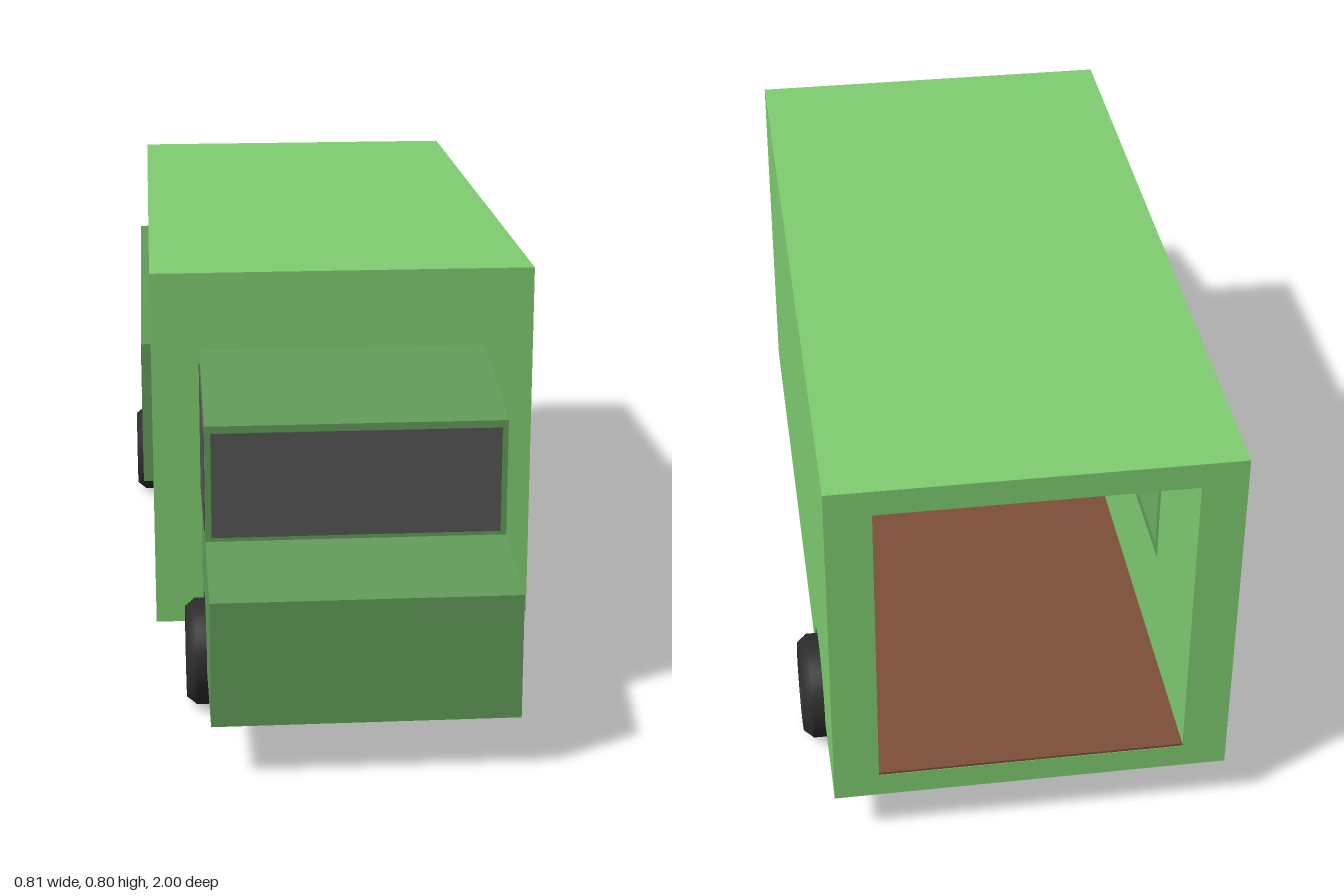
import * as THREE from 'three';

const mat = (name, color) => {
  const m = new THREE.MeshStandardMaterial({ color });
  m.name = name;
  return m;
};

export function createModel() {
  const bodyGreen = mat('bodyGreen', 0x7fcd70);
  const cabGreen = mat('cabGreen', 0x629c5a);
  const glass = mat('darkGlass', 0x555555);
  const rubber = mat('rubber', 0x2c2c2c);
  const metal = mat('hubGrey', 0xa8a8a8);
  const wood = mat('floorBrown', 0x7d503b);

  const truck = new THREE.Group();
  truck.name = 'foodTruck';

  const add = (name, geometry, material, parent = truck) => {
    const mesh = new THREE.Mesh(geometry, material);
    mesh.name = name;
    parent.add(mesh);
    return mesh;
  };

  // Box given by its limits on each axis
  const block = (name, material, [x0, x1], [y0, y1], [z0, z1]) => {
    const mesh = add(name, new THREE.BoxGeometry(x1 - x0, y1 - y0, z1 - z0), material);
    mesh.position.set((x0 + x1) / 2, (y0 + y1) / 2, (z0 + z1) / 2);
    return mesh;
  };

  // Side outline in (z, y) extruded across x
  const slab = (name, material, shape, x0, x1) => {
    const g = new THREE.ExtrudeGeometry(shape, { depth: x1 - x0, bevelEnabled: false, curveSegments: 20 });
    g.rotateY(-Math.PI / 2);
    g.translate(x1, 0, 0);
    return add(name, g, material);
  };

  const outline = (pts) => new THREE.Shape(pts.map(([z, y]) => new THREE.Vector2(z, y)));
  const rect = (z0, z1, y0, y1) => outline([[z0, y0], [z1, y0], [z1, y1], [z0, y1]]);

  // Outline whose bottom edge has a round wheel arch; the points run from bottom front to bottom back
  const archR = 0.112;
  const archOutline = (pts, wheelZ) => {
    const s = new THREE.Shape();
    s.moveTo(...pts[0]);
    pts.slice(1).forEach((p) => s.lineTo(...p));
    s.lineTo(wheelZ - archR, pts[0][1]);
    s.absarc(wheelZ, 0.1, archR, Math.PI, 0, true);
    s.closePath();
    return s;
  };

  // Main dimensions
  const W = 0.367, IN = 0.284, WELL = 0.297;
  const Y0 = 0.102, Y1 = 0.803, Z0 = -1, Z1 = 0.49;
  const frontWheelZ = 0.643, backWheelZ = -0.687;

  // Cargo body: side walls with wheel arches, serving hatch in the right one
  for (const side of [1, -1]) {
    const label = side > 0 ? 'left' : 'right';
    const outer = archOutline([[Z1, Y0], [Z1, Y1], [Z0, Y1], [Z0, Y0]], backWheelZ);
    const inner = rect(Z0, Z1, Y0, Y1);
    if (side < 0) {
      for (const s of [outer, inner]) s.holes.push(rect(-0.72, 0.43, 0.374, 0.651));
    }
    const span = (a, b) => (side > 0 ? [a, b] : [-b, -a]);
    slab(label + 'Wall', bodyGreen, outer, ...span(WELL, W));
    slab(label + 'WallLining', bodyGreen, inner, ...span(IN, WELL));
  }
  block('roof', bodyGreen, [-IN, IN], [0.753, Y1], [Z0, Z1]);
  block('underfloor', bodyGreen, [-IN, IN], [Y0, 0.15], [Z0, Z1]);
  block('bulkhead', bodyGreen, [-IN, IN], [0.15, 0.753], [0.44, Z1]);
  block('floorBoards', wood, [-IN, IN], [0.15, 0.155], [Z0 + 0.001, 0.44]);

  // Serving hatch frame lining the opening
  const frame = rect(-0.72, 0.43, 0.374, 0.651);
  frame.holes.push(rect(-0.7, 0.41, 0.394, 0.631));
  slab('hatchFrame', cabGreen, frame, -0.386, -IN);

  // Cab: solid core with arched flanks
  const CW = 0.275, CORE = 0.205;
  const cab = [[1, Y0], [1, 0.333], [0.785, 0.37], [0.785, 0.588], [Z1, 0.652], [Z1, Y0]];
  slab('cabCore', cabGreen, outline(cab), -CORE, CORE);
  slab('cabLeftFlank', cabGreen, archOutline(cab, frontWheelZ), CORE, CW);
  slab('cabRightFlank', cabGreen, archOutline(cab, frontWheelZ), -CW, -CORE);

  // Cab glazing
  block('windshield', glass, [-0.264, 0.264], [0.378, 0.575], [0.783, 0.788]);
  const sideGlass = outline([[0.768, 0.385], [0.768, 0.577], [0.515, 0.632], [0.515, 0.388]]);
  slab('leftCabWindow', glass, sideGlass, CW - 0.002, CW + 0.002);
  slab('rightCabWindow', glass, sideGlass, -CW - 0.002, -CW + 0.002);

  // Wheels: chamfered tyre with a recessed hub
  const h = 0.051, R = 0.101;
  const tyreProfile = [
    [0.066, -h + 0.01], [0.068, -h], [0.086, -h], [R - 0.004, -h + 0.014], [R, -h + 0.018],
    [R, h - 0.018], [R - 0.004, h - 0.014], [0.086, h], [0.068, h], [0.066, h - 0.01],
  ].map(([r, y]) => new THREE.Vector2(r, y));
  const tyreGeo = new THREE.LatheGeometry(tyreProfile, 32).rotateZ(Math.PI / 2);
  const hubGeo = new THREE.CylinderGeometry(0.067, 0.067, 2 * h - 0.014, 32).rotateZ(Math.PI / 2);
  for (const [axle, x, z] of [['front', 0.261, frontWheelZ], ['back', 0.355, backWheelZ]]) {
    for (const side of [1, -1]) {
      const wheel = new THREE.Group();
      wheel.name = axle + (side > 0 ? 'Left' : 'Right') + 'Wheel';
      add('tyre', tyreGeo, rubber, wheel);
      add('hub', hubGeo, metal, wheel);
      wheel.position.set(side * x, R, z);
      truck.add(wheel);
    }
  }
  return truck;
}
